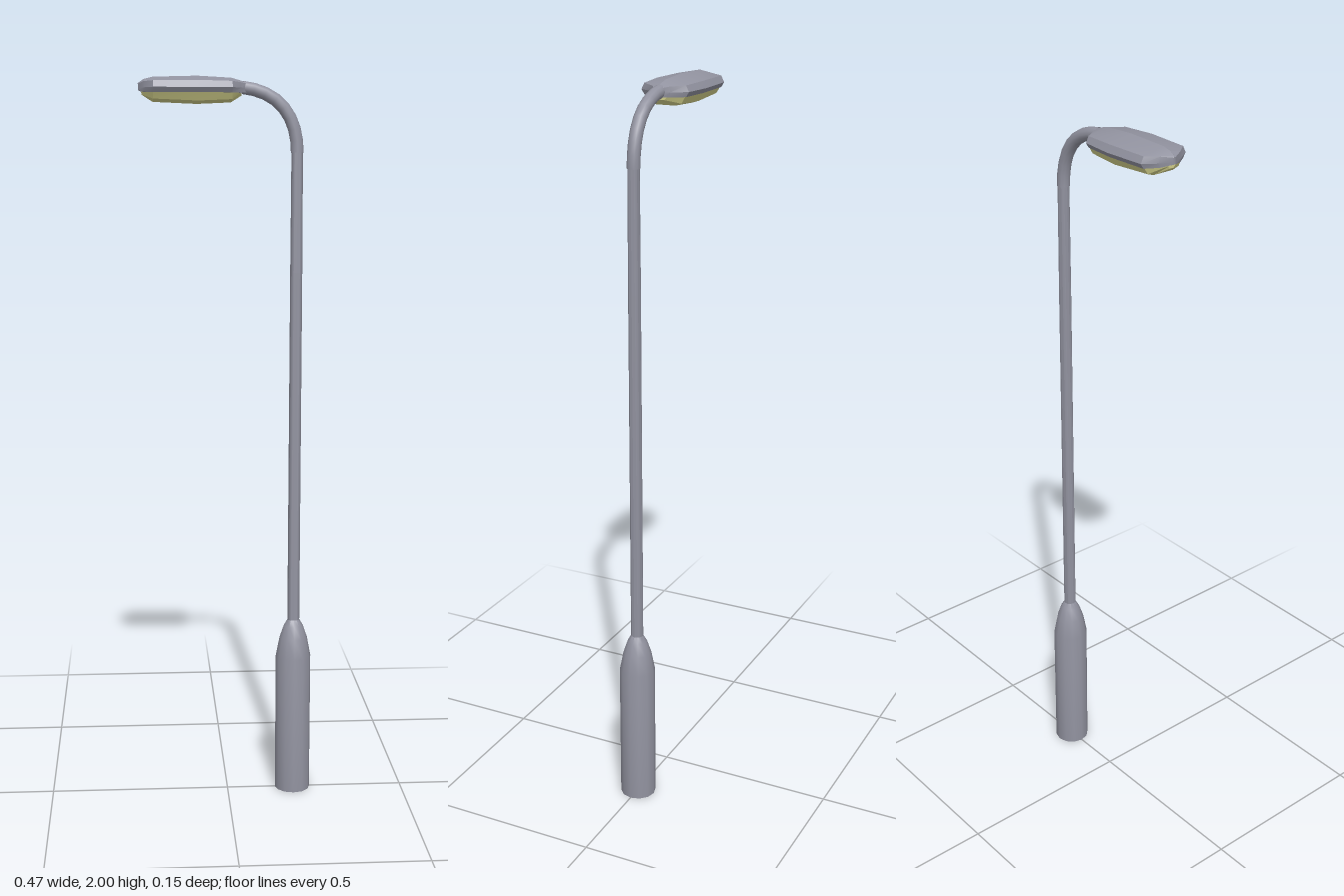
import * as THREE from 'three';
import { toCreasedNormals } from 'three/addons/utils/BufferGeometryUtils.js';

const POLE_X = 0.187;

// Skin a row of closed rings (running along +x, each from +z over the top to -z), with capped ends
function loft(rings) {
  const n = rings[0].length;
  const pos = rings.flat(2);
  const idx = [];
  for (let i = 0; i < rings.length - 1; i++) {
    for (let j = 0; j < n; j++) {
      const k = (j + 1) % n;
      const a = i * n + j, b = (i + 1) * n + j, c = (i + 1) * n + k, d = i * n + k;
      idx.push(a, b, c, a, c, d);
    }
  }
  const last = (rings.length - 1) * n;
  for (let j = 1; j < n - 1; j++) {
    idx.push(0, j, j + 1);
    idx.push(last, last + j + 1, last + j);
  }
  const geo = new THREE.BufferGeometry();
  geo.setAttribute('position', new THREE.Float32BufferAttribute(pos, 3));
  geo.setIndex(idx);
  return toCreasedNormals(geo, 0.35);
}

// Round part with smooth sides and sharp caps
function lathe(points) {
  const profile = points.map(([r, y]) => new THREE.Vector2(r, y));
  return toCreasedNormals(new THREE.LatheGeometry(profile, 12), 0.6);
}

export function createModel() {
  const group = new THREE.Group();
  const metal = new THREE.MeshStandardMaterial({ color: 0x9293a0, side: THREE.DoubleSide });
  const glass = new THREE.MeshStandardMaterial({ color: 0xd4d28c });
  const add = (name, geo, mat) => {
    const mesh = new THREE.Mesh(geo, mat);
    mesh.name = name;
    group.add(mesh);
    return mesh;
  };

  // Wide foot tapering into the pole
  add('base', lathe([[0, 0], [0.0495, 0], [0.0495, 0.395], [0.039, 0.45], [0.027, 0.485], [0.017, 0.502]]), metal)
    .position.x = POLE_X;
  add('pole', lathe([[0.017, 0.49], [0.0165, 1.48], [0.0155, 1.81]]), metal).position.x = POLE_X;

  // Curved arm sweeping over to the lamp head
  const armPath = new THREE.CubicBezierCurve3(
    new THREE.Vector3(POLE_X, 1.8, 0),
    new THREE.Vector3(POLE_X, 1.9, 0),
    new THREE.Vector3(0.135, 1.96, 0),
    new THREE.Vector3(0.04, 1.97, 0)
  );
  add('arm', new THREE.TubeGeometry(armPath, 8, 0.0172, 12, false), metal);

  // Lamp housing: x, half width, ridge height, shoulder height, lower edge
  const housing = [
    [-0.237, 0.003, 1.981, 1.979, 1.962],
    [-0.222, 0.036, 1.991, 1.984, 1.957],
    [-0.198, 0.071, 1.997, 1.985, 1.955],
    [-0.08, 0.076, 2.0, 1.986, 1.955],
    [0.01, 0.067, 1.995, 1.984, 1.955],
    [0.035, 0.027, 1.988, 1.982, 1.955],
    [0.052, 0.011, 1.982, 1.979, 1.957],
  ].map(([x, w, top, shoulder, low]) => [
    [x, 1.968, w], [x, shoulder, w * 0.88], [x, top, 0], [x, shoulder, -w * 0.88],
    [x, 1.968, -w], [x, low, -w * 0.88], [x, low, w * 0.88],
  ]);
  add('lampHousing', loft(housing), metal);

  // Light cover bulging below the housing: x, half width, bottom height
  const cover = [
    [-0.228, 0.012, 1.951],
    [-0.198, 0.061, 1.933],
    [-0.08, 0.066, 1.928],
    [0.01, 0.058, 1.932],
    [0.036, 0.02, 1.948],
  ].map(([x, w, low]) => [
    [x, 1.958, w], [x, 1.958, -w], [x, low + 0.006, -w * 0.8],
    [x, low, -w * 0.5], [x, low, w * 0.5], [x, low + 0.006, w * 0.8],
  ]);
  add('lightCover', loft(cover), glass);

  return group;
}
